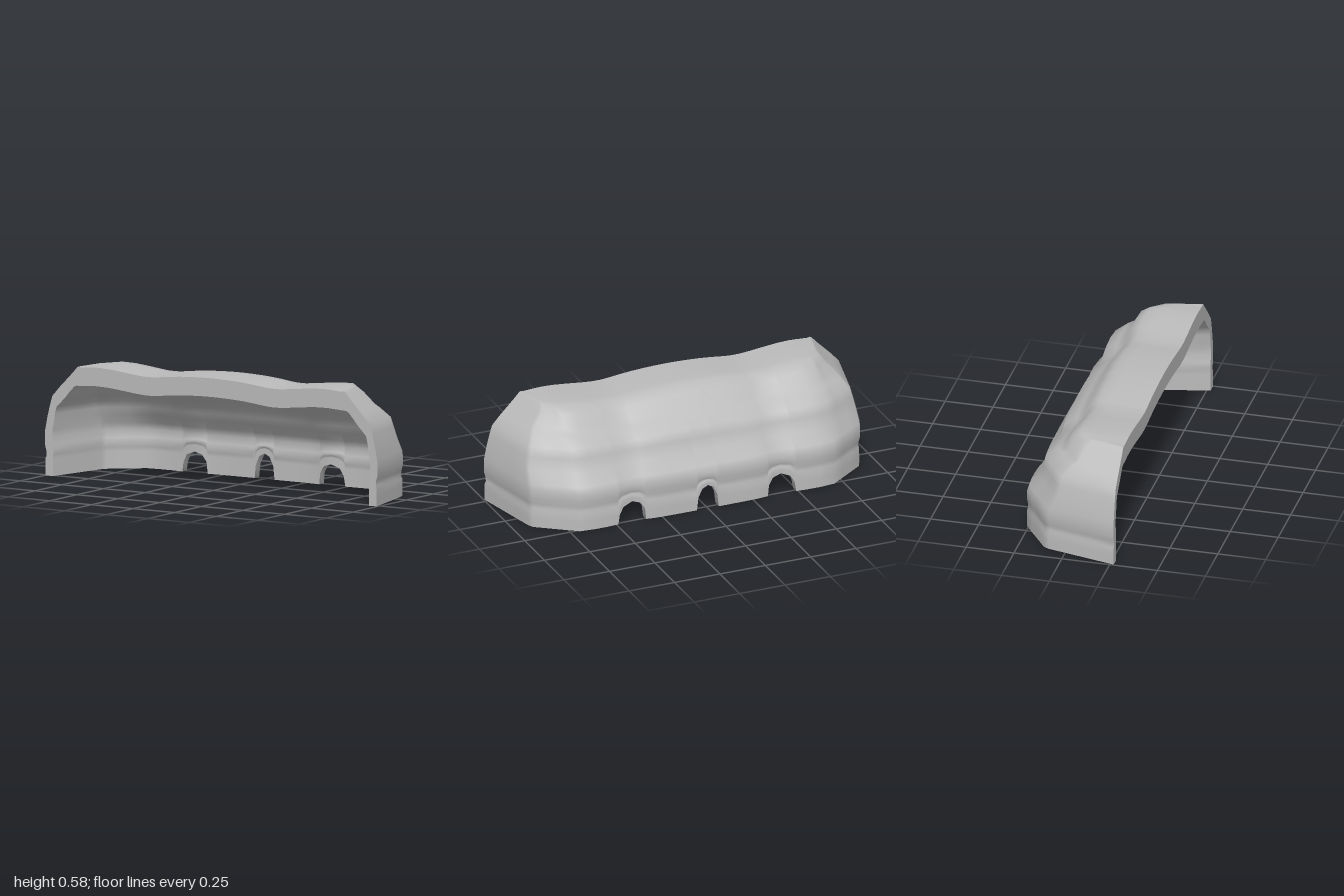
import * as THREE from 'three';

const FRONT = 0.27;
const DEPTH = 0.538;

// Rows from the base up and over to the front rim: [height, half width at front, z of back]
const OUTER = [
  [0, 0.995, -0.268], [0.05, 0.995, -0.268], [0.09, 0.995, -0.267], [0.105, 0.989, -0.261],
  [0.13, 0.992, -0.262], [0.16, 1, -0.268], [0.2, 1, -0.268], [0.235, 0.998, -0.255],
  [0.3, 0.985, -0.205], [0.36, 0.97, -0.182], [0.41, 0.955, -0.168], [0.46, 0.91, -0.1],
  [0.48, 0.89, -0.065], [0.54, 0.83, -0.03], [0.567, 0.805, 0.015], [0.571, 0.795, 0.07],
  [0.569, 0.79, 0.17], [0.567, 0.785, FRONT],
];
const INNER = [
  [0, 0.95, -0.225], [0.05, 0.95, -0.225], [0.09, 0.95, -0.225], [0.11, 0.95, -0.225],
  [0.135, 0.945, -0.216], [0.16, 0.95, -0.224], [0.2, 0.955, -0.23], [0.235, 0.955, -0.215],
  [0.28, 0.945, -0.175], [0.32, 0.94, -0.15], [0.355, 0.93, -0.13], [0.39, 0.895, -0.08],
  [0.41, 0.875, -0.05], [0.44, 0.85, -0.01], [0.465, 0.825, 0.03], [0.47, 0.815, 0.08],
  [0.472, 0.81, 0.17], [0.472, 0.805, FRONT],
];

// Columns along the back: [x, notch height at the base]
const BACK = [
  [0.62, 0], [0.55, 0], [0.49, 0], [0.482, 0.05], [0.46, 0.09], [0.41, 0.11], [0.365, 0.095],
  [0.342, 0.06], [0.335, 0], [0.31, 0], [0.26, 0], [0.19, 0], [0.12, 0], [0.06, 0],
  [0.052, 0.07], [0.03, 0.115], [0, 0.13],
];

const lerp = THREE.MathUtils.lerp;
const bump = (x, centre, width) => Math.exp(-(((Math.abs(x) - centre) / width) ** 2));

// One U-shaped row, running from the left front edge round the back to the right
function makeRow([y, half, zBack]) {
  const k = (FRONT - zBack) / DEPTH;
  const x1 = half - 0.088 * k, z1 = zBack + 0.155 * k;
  const x2 = Math.min(0.69, half - 0.11);
  const side = [];
  for (const t of [0, 0.33, 0.67, 0.94]) side.push([lerp(half, x1, t), lerp(FRONT, z1, t), 0]);
  for (const t of [0.04, 0.35, 0.65, 0.95]) side.push([lerp(x1, x2, t), lerp(z1, zBack, t), 0]);
  for (const [x, notch] of BACK) side.push([x, zBack, notch]);
  const mirrored = side.slice(0, -1).reverse().map(([x, z, n]) => [-x, z, n]);
  return [...side, ...mirrored].map(([x, z, notch]) => {
    // Lift the lower rows over the notches
    const lifted = y < 0.18 ? notch + y * (0.18 - notch) / 0.18 : y;
    // Gentle waves along the crest and the back
    const crest = THREE.MathUtils.smoothstep(y, 0.3, 0.47);
    const wave = 0.008 * bump(x, 0, 0.2) - 0.016 * bump(x, 0.38, 0.13) + 0.008 * bump(x, 0.67, 0.1);
    const dent = (0.016 * bump(x, 0.4, 0.08) - 0.003 * bump(x, 0, 0.3)) * k;
    return [x, lifted + wave * crest, z + dent];
  });
}

// Joins rows of equal length into a surface
function skin(rows, flip = false) {
  const n = rows[0].length;
  const index = [];
  for (let r = 0; r < rows.length - 1; r++) {
    for (let c = 0; c < n - 1; c++) {
      const a = r * n + c, b = a + 1, d = a + n, e = d + 1;
      if (flip) index.push(a, d, b, b, d, e);
      else index.push(a, b, d, b, e, d);
    }
  }
  const geometry = new THREE.BufferGeometry();
  geometry.setAttribute('position', new THREE.Float32BufferAttribute(rows.flat(2), 3));
  geometry.setIndex(index);
  geometry.computeVertexNormals();
  return geometry;
}

// Open front edge: up the left side, across the top, down the right side
function frontEdge(rows) {
  const last = rows.length - 1;
  return [
    ...rows.slice(0, last).map((r) => r[0]),
    ...rows[last],
    ...rows.slice(0, last).reverse().map((r) => r[r.length - 1]),
  ];
}

export function createModel() {
  const group = new THREE.Group();
  group.name = 'archedShell';
  const grey = new THREE.MeshStandardMaterial({ color: 0xbbbbbb, side: THREE.DoubleSide });
  grey.name = 'plainGrey';

  const add = (name, geometry) => {
    const mesh = new THREE.Mesh(geometry, grey);
    mesh.name = name;
    group.add(mesh);
  };

  const outer = OUTER.map(makeRow);
  const inner = INNER.map(makeRow);
  add('outerShell', skin(outer));
  add('innerShell', skin(inner, true));
  add('frontRim', skin([frontEdge(outer), frontEdge(inner)]));
  // Underside, including the soffits of the three notches
  add('baseEdge', skin([outer[0], inner[0]], true));
  return group;
}
